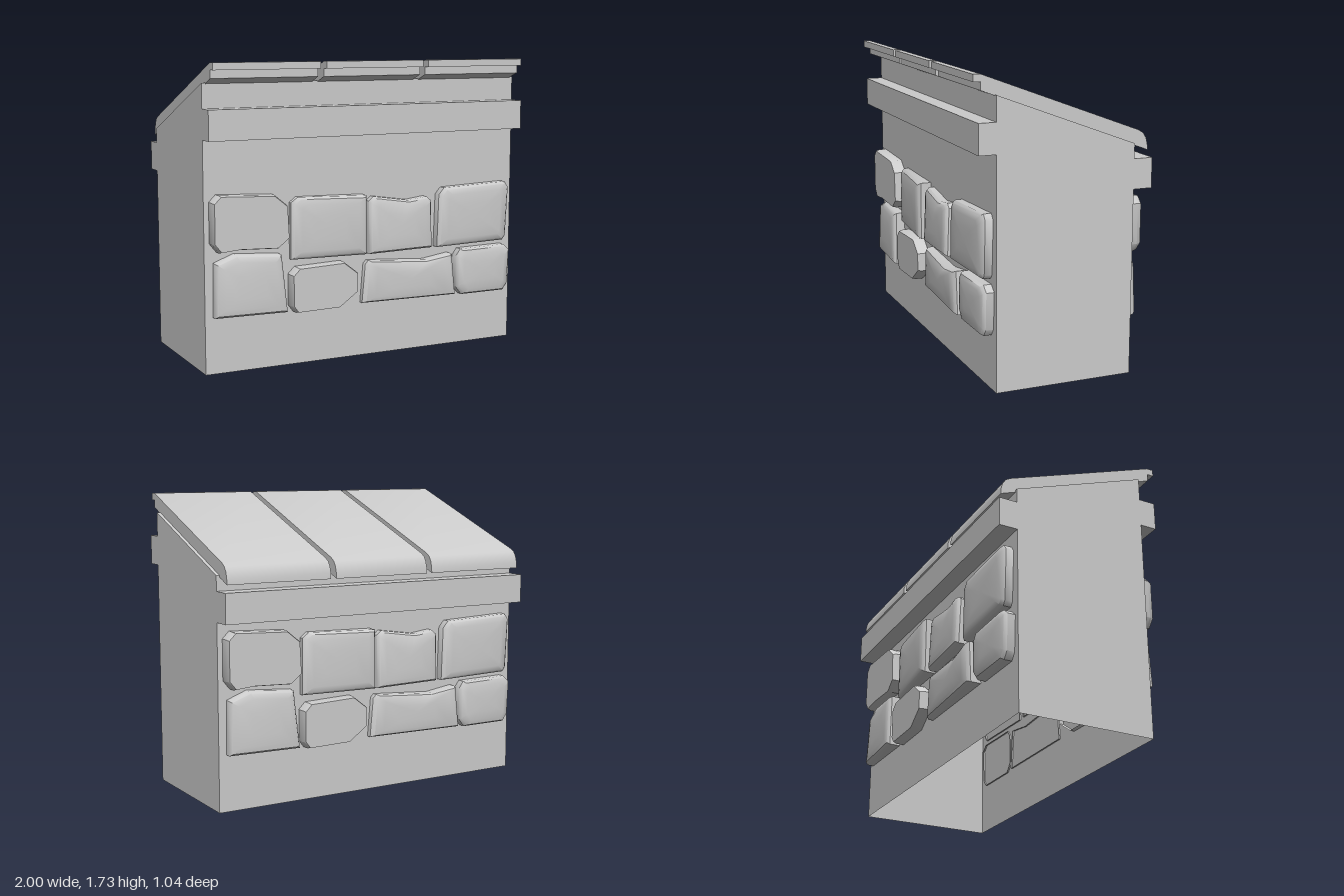
import * as THREE from 'three';
import { toCreasedNormals } from 'three/addons/utils/BufferGeometryUtils.js';

const material = new THREE.MeshStandardMaterial({ color: 0xcccccc, side: THREE.DoubleSide });

function addMesh(parent, name, geometry) {
  const mesh = new THREE.Mesh(geometry, material);
  mesh.name = name;
  parent.add(mesh);
  return mesh;
}

function addBox(parent, name, x0, x1, y0, y1, z0, z1) {
  const mesh = addMesh(parent, name, new THREE.BoxGeometry(x1 - x0, y1 - y0, z1 - z0));
  mesh.position.set((x0 + x1) / 2, (y0 + y1) / 2, (z0 + z1) / 2);
  return mesh;
}

// Hollow body: box with a sloping top and no floor
function bodyGeometry() {
  const geo = new THREE.BoxGeometry(2, 1, 0.81);
  geo.translate(0, 0.5, -0.005);
  const pos = geo.attributes.position;
  for (let i = 0; i < pos.count; i++) {
    if (pos.getY(i) > 0.5) pos.setY(i, pos.getZ(i) > 0 ? 1.62 : 1.315);
  }
  const index = Array.from(geo.index.array);
  index.splice(18, 6); // floor face
  geo.setIndex(index);
  geo.clearGroups();
  const flat = geo.toNonIndexed();
  flat.computeVertexNormals();
  return flat;
}

// Roof panel: side profile (z, y) swept along x, rounded at the low edge
function panelGeometry(x0, x1) {
  const profile = [
    [0.52, 1.73], [0.52, 1.69], [0.48, 1.69], [0.48, 1.645], [-0.5, 1.27],
    [-0.498, 1.305], [-0.488, 1.34], [-0.47, 1.367], [-0.44, 1.385], [0.48, 1.73],
  ].map(([z, y]) => new THREE.Vector2(-z, y));
  const geo = new THREE.ExtrudeGeometry(new THREE.Shape(profile), { depth: x1 - x0, bevelEnabled: false });
  geo.rotateY(Math.PI / 2);
  geo.translate(x0, 0, 0);
  return toCreasedNormals(geo, 0.5);
}

// Stone: rings of the outline [scale, z], closed with a fan; tilt deepens one side
function stoneGeometry({ outline, rings, tilt = [0, 0] }) {
  const n = outline.length;
  const xs = outline.map((p) => p[0]), ys = outline.map((p) => p[1]);
  const mid = (a) => (Math.min(...a) + Math.max(...a)) / 2;
  const cx = mid(xs), cy = mid(ys);
  const positions = [], index = [];
  rings.forEach(([s, z], r) => {
    for (const [px, py] of outline) {
      const x = (px - cx) * s, y = (py - cy) * s;
      positions.push(cx + x, cy + y, r === 0 ? z : z + x * tilt[0] + y * tilt[1]);
    }
  });
  positions.push(cx, cy, rings[rings.length - 1][1]);
  for (let r = 0; r < rings.length - 1; r++) {
    for (let i = 0; i < n; i++) {
      const a = r * n + i, b = r * n + (i + 1) % n;
      index.push(a, b, b + n, a, b + n, a + n);
    }
  }
  const last = (rings.length - 1) * n;
  for (let i = 0; i < n; i++) index.push(last + i, last + (i + 1) % n, last + n);
  const geo = new THREE.BufferGeometry();
  geo.setAttribute('position', new THREE.Float32BufferAttribute(positions, 3));
  geo.setIndex(index);
  return toCreasedNormals(geo, 0.7);
}

const flatRings = [[1, -0.03], [1, 0.045], [0.96, 0.07], [0.95, 0.07]];
const domedRings = [[1, -0.01], [1, 0.045], [0.93, 0.062], [0.75, 0.07], [0.4, 0.075]];

const stones = [
  { rings: flatRings, outline: [[-0.97, 0.74], [-0.93, 0.69], [-0.81, 0.7], [-0.58, 0.69], [-0.51, 0.745],
    [-0.52, 0.93], [-0.6, 0.995], [-0.93, 1.01], [-0.97, 0.97]] },
  { rings: domedRings, tilt: [0.08, 0], outline: [[-0.49, 0.615], [-0.03, 0.615], [-0.03, 0.96], [-0.45, 0.97], [-0.49, 0.94]] },
  { rings: domedRings, tilt: [0.03, -0.04], outline: [[0, 0.61], [0.41, 0.62], [0.41, 0.9], [0.38, 0.925], [0.26, 0.91],
    [0.03, 0.945], [0, 0.92]] },
  { rings: domedRings, outline: [[0.455, 0.615], [0.92, 0.625], [0.94, 0.65], [0.955, 0.95], [0.93, 0.985],
    [0.5, 0.97], [0.465, 0.93]] },
  { rings: domedRings, tilt: [0.06, -0.04], outline: [[-0.955, 0.325], [-0.53, 0.325], [-0.56, 0.655], [-0.83, 0.675], [-0.95, 0.63]] },
  { rings: flatRings, outline: [[-0.5, 0.35], [-0.47, 0.31], [-0.2, 0.315], [-0.08, 0.4], [-0.08, 0.51],
    [-0.17, 0.58], [-0.46, 0.57], [-0.5, 0.53]] },
  { rings: domedRings, tilt: [0.05, 0], outline: [[-0.04, 0.32], [0.575, 0.32], [0.55, 0.57], [0.38, 0.545], [0, 0.57], [-0.02, 0.55]] },
  { rings: domedRings, outline: [[0.59, 0.36], [0.63, 0.31], [0.93, 0.31], [0.96, 0.35], [0.97, 0.56],
    [0.93, 0.595], [0.62, 0.59], [0.59, 0.55]] },
];

function stoneWall(name) {
  const wall = new THREE.Group();
  wall.name = name;
  stones.forEach((stone, i) => addMesh(wall, `stone${i + 1}`, stoneGeometry(stone)));
  return wall;
}

export function createModel() {
  const model = new THREE.Group();
  model.name = 'stoneWallSection';

  addMesh(model, 'body', bodyGeometry());

  // Ledges under the eaves
  addBox(model, 'frontLedge', -1, 1, 1.31, 1.48, 0.4, 0.5);
  addBox(model, 'backLedge', -1, 1, 1.06, 1.23, -0.52, -0.41);

  // Three roof slabs with narrow gaps
  [[-0.98, -0.345], [-0.31, 0.305], [0.34, 0.98]].forEach(([x0, x1], i) =>
    addMesh(model, `roofPanel${i + 1}`, panelGeometry(x0, x1)));

  // The same stones on the front and, turned around, on the back
  const front = stoneWall('frontStones');
  front.position.z = 0.4;
  const back = stoneWall('backStones');
  back.rotation.y = Math.PI;
  back.position.z = -0.41;
  model.add(front, back);

  return model;
}
